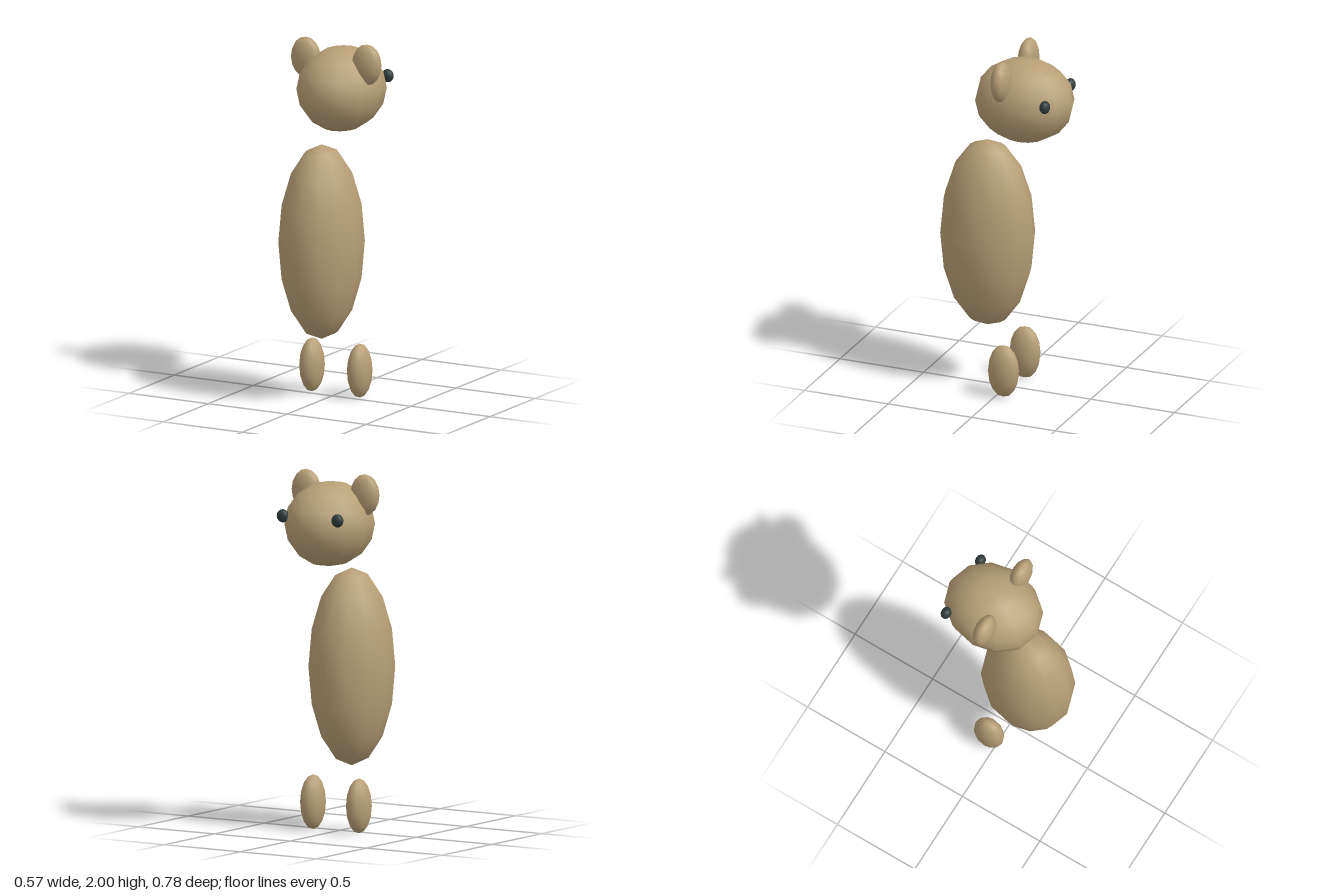
import * as THREE from 'three';

export function createModel() {
  const model = new THREE.Group();
  const fur = new THREE.MeshStandardMaterial({ color: 0xb8a076 });
  fur.name = 'tan fur';
  const dark = new THREE.MeshStandardMaterial({ color: 0x2f3b3b });
  dark.name = 'dark eye';

  // Smooth-shaded low-poly ellipsoid from its centre and half sizes
  const ball = (name, material, centre, radii) => {
    const geometry = new THREE.SphereGeometry(1, 12, 8).scale(...radii);
    const mesh = new THREE.Mesh(geometry, material);
    mesh.name = name;
    mesh.position.set(...centre);
    model.add(mesh);
  };

  // Torso and head
  ball('body', fur, [0, 0.897, 0.117], [0.227, 0.55, 0.272]);
  ball('head', fur, [0, 1.718, -0.105], [0.237, 0.237, 0.285]);

  // Mirrored ears, eyes and feet
  for (const [side, s] of [['left', 1], ['right', -1]]) {
    ball(side + 'Ear', fur, [s * 0.193, 1.885, -0.046], [0.091, 0.115, 0.053]);
    ball(side + 'Eye', dark, [s * 0.18, 1.77, -0.301], [0.035, 0.037, 0.029]);
    ball(side + 'Foot', fur, [s * 0.151, 0.152, -0.042], [0.064, 0.152, 0.091]);
  }
  return model;
}
